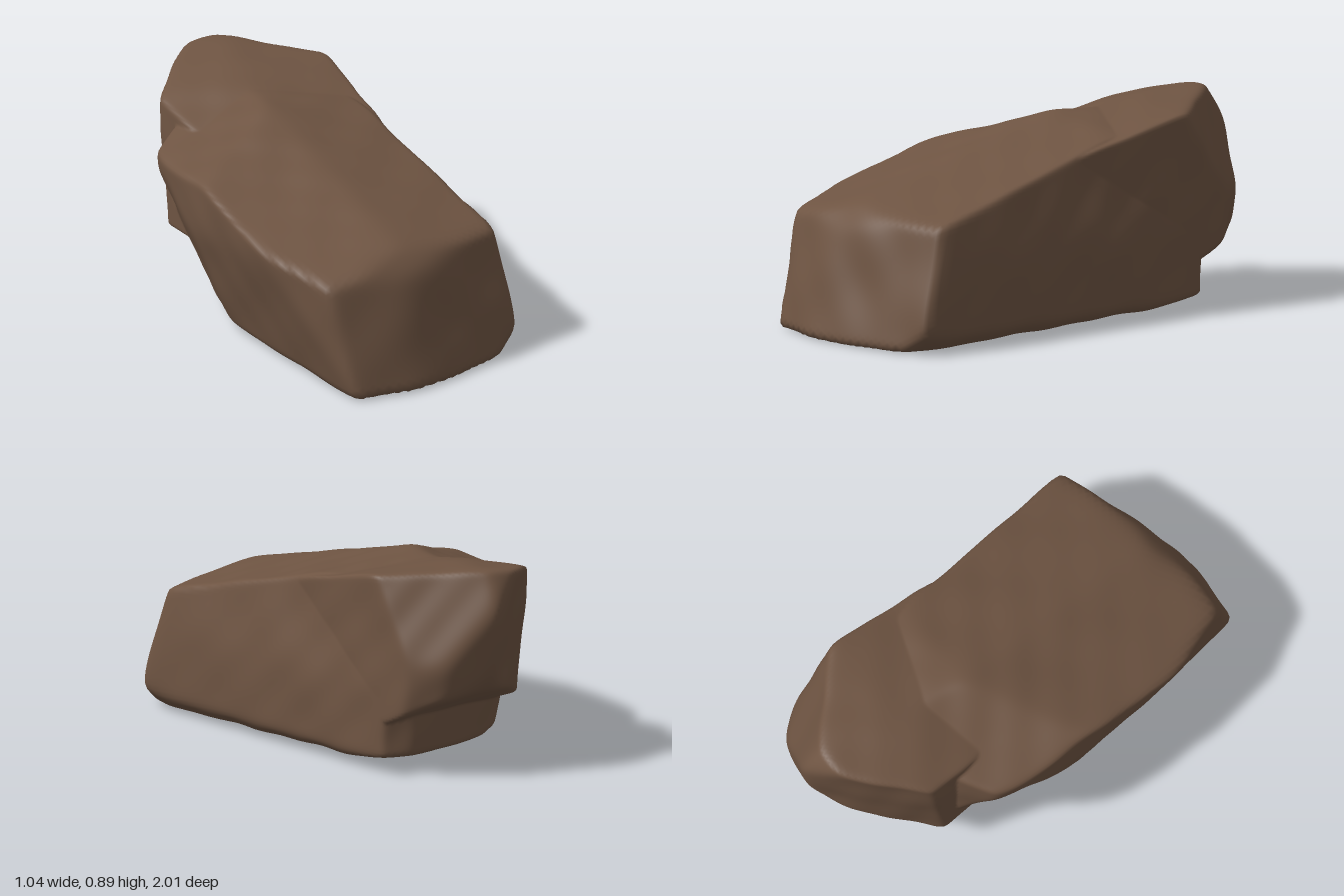
import * as THREE from 'three';
import { mergeVertices } from 'three/addons/utils/BufferGeometryUtils.js';

// Point inside both blocks, from which the surface is cast outwards
const CENTER = new THREE.Vector3(0.1, 0.45, -0.25);
const SHARPNESS = 55;

// Each cut is a plane: outward normal, then a point on it
function cut(nx, ny, nz, px, py, pz) {
  const normal = new THREE.Vector3(nx, ny, nz);
  return { normal, distance: normal.dot(new THREE.Vector3(px, py, pz).sub(CENTER)) };
}

const rightSide = cut(1, 0.03, 0, 0.52, 0.1, 0);

// Long sloping main block
const MAIN_BLOCK = [
  rightSide,
  cut(1, 0.21, 0, 0.43, 0.76, 0),            // right side, leaning in at the top
  cut(1, -1, 0, 0.52, 0.06, 0),              // right lower edge
  cut(1, -1, 0.36, 0.515, 0.075, 0.87),      // front right foot
  cut(0, -1, -0.025, 0, 0, 0.8),             // underside
  cut(0, -1, -0.17, 0, 0.035, -0.45),        // underside, rising at the rear
  cut(-0.25, -1, -0.216, 0, 0.055, -0.6),    // underside, rear left
  cut(-1, -0.31, 0, -0.365, 0, 0),           // left side, leaning outwards
  cut(-1, 0, -0.07, -0.475, 0.6, -0.35),     // left side, upper
  cut(-1, 0, 0.29, -0.39, 0.5, 0.94),        // left side, towards the front
  cut(-1, -0.45, -0.4, -0.32, 0.02, -0.09),  // left side, towards the rear
  cut(-0.2, 1, 0.25, 0, 0.775, 0),           // top, left slope
  cut(0.1, 1, 0.26, 0, 0.775, 0),            // top, right slope
  cut(-0.38, 1, -0.1, 0, 0.845, -0.2),       // top, rear left
  cut(0.12, 1, 0, 0, 0.84, -0.3),            // top, rear right
  cut(0, 1, 0.86, 0, 0.495, 0.87),           // front brow
  cut(-0.2, 0.27, 1, -0.08, 0.05, 1.015),    // front, left half
  cut(0.22, 0.27, 1, -0.08, 0.05, 1.015),    // front, right half
  cut(0, 0, -1, 0, 0.15, -0.7),              // rear
  cut(-0.57, 0, -1, -0.26, 0.5, -0.56),      // rear left
  cut(-0.92, 0, -0.38, -0.465, 0.5, -0.36),  // rear left corner
  cut(0.6, 0, -1, 0.42, 0.2, -0.69),         // rear right corner
];

// Raised block overhanging the rear
const REAR_BLOCK = [
  rightSide,
  cut(1, 0.03, 0.12, 0.495, 0.8, -0.5),      // right side, fading into the main block
  cut(-1, 0, 0, -0.27, 0.5, -0.6),           // left wall
  cut(-0.87, -0.13, -1, -0.265, 0.7, -0.685), // rear left
  cut(-0.55, -0.13, -1, 0.19, 0.74, -1.015), // rear, left of the tip
  cut(0.32, -0.13, -1, 0.19, 0.74, -1.015),  // rear, right of the tip
  cut(1.4, -0.13, -1, 0.39, 0.5, -0.945),    // rear right
  cut(1.27, 0.67, -1, 0.485, 0.865, -0.565), // rear right shoulder
  cut(0, 0.5, -1, 0.1, 0.8, -0.98),          // rear top bevel
  cut(0, -1, -0.5, 0, 0.25, -0.7),           // overhang
  cut(0, -1, -1.5, 0, 0.35, -0.91),          // overhang bevel
  cut(0, -1, 0, 0, 0.22, 0),                 // hidden underside
  cut(-0.33, 1, 0.2, -0.05, 0.855, -0.7),    // top, left slope
  cut(-0.2, 1, 0.06, 0.15, 0.895, -0.9),     // top, middle
  cut(0.05, 1, 0.06, 0.15, 0.895, -0.9),     // top, right slope
  cut(0, 1, 0.25, 0.1, 0.875, -0.6),         // top, towards the front
  cut(0, 0, 1, 0, 0.5, 0.05),                // hidden front
];

// Distance to a block's surface, with slightly worn edges where cuts meet
function reach(block, direction) {
  let sum = 0;
  for (const { normal, distance } of block) {
    sum += Math.max(0, normal.dot(direction) / distance) ** SHARPNESS;
  }
  return sum ** (-1 / SHARPNESS);
}

// Gentle chipped unevenness
function chips(p) {
  const broad = Math.sin(p.x * 11 + p.z * 7) * Math.sin(p.y * 13 - p.z * 5);
  const fine = Math.sin(p.z * 23 + p.y * 9) * Math.sin(p.x * 21 + p.y * 17 + 1);
  return 0.005 * broad + 0.003 * fine;
}

function rockGeometry() {
  const ball = new THREE.IcosahedronGeometry(1, 60);
  ball.deleteAttribute('normal');
  ball.deleteAttribute('uv');
  const geometry = mergeVertices(ball, 1e-5);
  const position = geometry.attributes.position;
  const direction = new THREE.Vector3(), p = new THREE.Vector3();
  for (let i = 0; i < position.count; i++) {
    direction.fromBufferAttribute(position, i).normalize();
    const r = Math.max(reach(MAIN_BLOCK, direction), reach(REAR_BLOCK, direction));
    p.copy(direction).multiplyScalar(r).add(CENTER);
    p.addScaledVector(direction, chips(p));
    position.setXYZ(i, p.x, p.y, p.z);
  }
  // stand it on the ground
  geometry.computeBoundingBox();
  geometry.translate(0, -geometry.boundingBox.min.y, 0);
  geometry.computeVertexNormals();
  return geometry;
}

export function createModel() {
  const group = new THREE.Group();
  group.name = 'boulder';
  const stone = new THREE.MeshStandardMaterial({ color: 0x6e5442 });
  stone.name = 'brown stone';
  const rock = new THREE.Mesh(rockGeometry(), stone);
  rock.name = 'rock';
  group.add(rock);
  return group;
}
